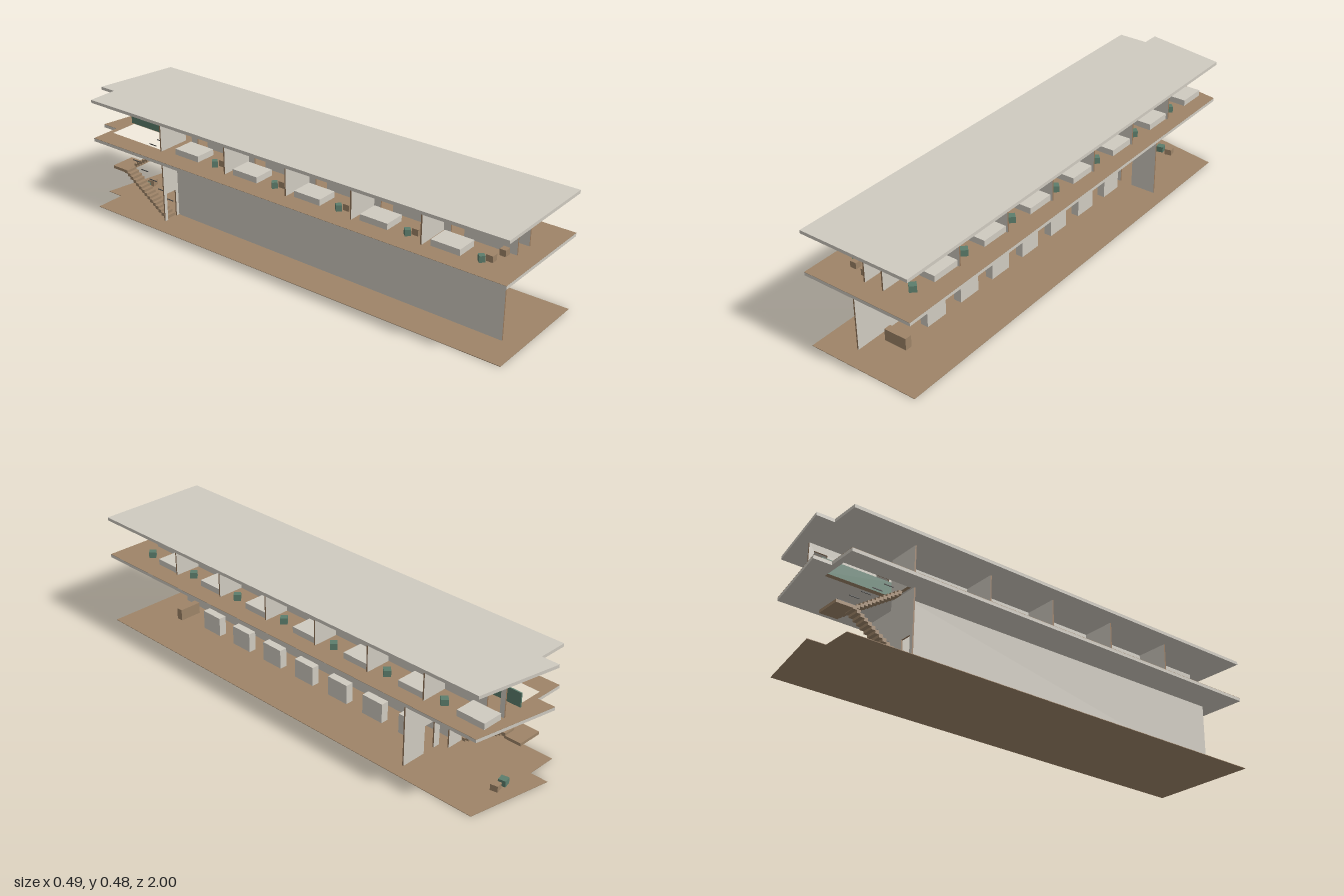
import * as THREE from 'three';

const mat = (name, color, extra = {}) => Object.assign(new THREE.MeshStandardMaterial({ color, ...extra }), { name });

export function createModel() {
  const plaster = mat('plaster', 0xcfcac0);
  const wood = mat('wood', 0x9e8468);
  const trim = mat('wall edge brown', 0x94765a);
  const green = mat('green', 0x5c7d6c);
  const metal = mat('dark rail', 0x4a4a48);

  const model = new THREE.Group();
  model.name = 'longHouse';
  const add = (name, geometry, material) => {
    const mesh = new THREE.Mesh(geometry, material);
    mesh.name = name;
    model.add(mesh);
    return mesh;
  };
  // Box given by its limits on each axis
  const box = (name, x0, x1, y0, y1, z0, z1, material) =>
    add(name, new THREE.BoxGeometry(x1 - x0, y1 - y0, z1 - z0)
      .translate((x0 + x1) / 2, (y0 + y1) / 2, (z0 + z1) / 2), material);

  // Floor plates share one notched outline
  const outline = [[-0.245, -0.927], [-0.12, -0.927], [-0.12, -1], [0.222, -0.937], [0.243, 1], [-0.23, 1]];
  const stairHole = [[-0.16, -0.905], [-0.04, -0.905], [-0.04, -0.63], [-0.16, -0.63]];
  const toPoints = (list) => list.map(([x, z]) => new THREE.Vector2(x, -z));
  const plate = (name, y0, y1, material, hole) => {
    const shape = new THREE.Shape(toPoints(outline));
    if (hole) shape.holes.push(new THREE.Path(toPoints(hole)));
    const geometry = new THREE.ExtrudeGeometry(shape, { depth: y1 - y0, bevelEnabled: false });
    add(name, geometry.rotateX(-Math.PI / 2).translate(0, y0, 0), material);
  };
  plate('groundFloor', 0, 0.002, wood);
  plate('upperSlab', 0.299, 0.312, plaster, stairHole);
  plate('upperFloorBoards', 0.312, 0.313, wood, stairHole);
  plate('roof', 0.467, 0.48, plaster);

  // Thin wall with doorways cut from its base; edges and jambs are brown
  const T = 0.006;
  const wall = (name, axis, at, a, b, y0, y1, doors = [], doorTop = 0) => {
    const pts = [[a, y1], [a, y0]];
    doors.forEach(([p, q]) => pts.push([p, y0], [p, doorTop], [q, doorTop], [q, y0]));
    pts.push([b, y0], [b, y1]);
    const shape = new THREE.Shape(pts.map((p) => new THREE.Vector2(...p)));
    const geometry = new THREE.ExtrudeGeometry(shape, { depth: T, bevelEnabled: false }).translate(0, 0, -T / 2);
    if (axis === 'z') geometry.rotateY(-Math.PI / 2).translate(at, 0, 0);
    else geometry.translate(0, 0, at);
    add(name, geometry, [plaster, trim]);
  };

  // Ground floor walls
  wall('groundLongWall', 'z', -0.087, -0.617, 0.922, 0.002, 0.299);
  wall('stairWall', 'x', -0.62, -0.17, -0.032, 0.002, 0.299, [[-0.155, -0.104]], 0.12);
  wall('hallEndWall', 'x', -0.58, -0.025, 0.168, 0.002, 0.299, [[0.005, 0.059]], 0.12);

  // Small seat turned to stand on its corner direction
  const stool = (name, x, y, z, size, material, turn = Math.PI / 4) => {
    const mesh = add(name, new THREE.BoxGeometry(size, 0.025, size), material);
    mesh.position.set(x, y + 0.0125, z);
    mesh.rotation.y = turn;
  };

  // Upper floor: seven rooms on the right of the plan
  const F = 0.313, C = 0.467;
  const rightStart = -0.924, rightPitch = 0.264;
  const rightDoors = [];
  for (let i = 0; i < 7; i++) {
    const z = rightStart + i * rightPitch;
    rightDoors.push([z + 0.022, z + 0.077]);
    if (i > 0) wall('roomPartition', 'x', z, 0.057, 0.168, F, C);
    box('bed', 0.073, 0.16, F, 0.338, z + 0.004, z + 0.123, plaster);
    stool('greenStool', 0.132, F, z + 0.2, 0.028, green);
  }
  wall('rightCorridorWall', 'z', 0.055, -0.922, 0.922, F, C, rightDoors, 0.44);

  // Five wider rooms on the other side of the corridor
  const leftStart = -0.585, leftPitch = 0.302;
  const leftDoors = [];
  for (let i = 0; i < 5; i++) {
    const z = leftStart + i * leftPitch;
    leftDoors.push([z + 0.032, z + 0.087]);
    wall('roomPartition', 'x', i ? z : -0.622, -0.17, -0.029, F, C);
    box('bed', -0.155, -0.066, F, 0.338, z + 0.03, z + 0.15, plaster);
    stool('greenStool', -0.139, F, z + 0.225, 0.022, green);
    box('sideTable', -0.127, -0.1, F, 0.338, z + 0.235, z + 0.262, wood);
    box('nightstand', -0.065, -0.038, F, 0.338, z + 0.25, z + 0.275, wood);
  }
  wall('leftCorridorWall', 'z', -0.027, leftStart, 0.922, F, C, leftDoors, 0.44);

  // Ground floor furniture
  for (let i = 0; i < 7; i++) {
    const z = 0.63 - i * 0.1843;
    box('hallBlock', -0.01, 0.023, 0.001, 0.084, z - 0.05, z + 0.05, plaster);
  }
  box('receptionDesk', -0.048, 0.05, 0.001, 0.051, 0.797, 0.826, wood);
  stool('terraceTable', 0.043, 0.002, -0.9, 0.03, wood, 0.2);
  stool('terraceStool', 0, 0.002, -0.9, 0.03, green, 0.2);

  // Two flights of stairs meeting at a landing
  const steps = 15, run = 0.23 / steps, rise = 0.0103;
  for (let i = 0; i < steps; i++) {
    const z = -0.625 - i * run;
    const low = i * rise, high = 0.3 - i * rise;
    box('lowerStep', -0.155, -0.105, low, low + 0.0145, z - run, z, wood);
    box('upperStep', -0.1, -0.05, high - 0.002, high + 0.0125, z - run, z, wood);
    // Short handrail pieces above every third step
    if (i % 3 === 1) {
      box('lowerRail', -0.108, -0.105, low + 0.052, low + 0.055, z - 0.03, z + 0.01, metal);
      box('upperRail', -0.053, -0.05, high + 0.055, high + 0.058, z - 0.03, z + 0.01, metal);
    }
  }
  box('stairLanding', -0.155, -0.05, 0.147, 0.159, -0.922, -0.85, wood);

  // Parapet beside the stair opening
  box('stairParapet', -0.038, -0.032, F, 0.37, -0.92, -0.63, green);

  return model;
}
